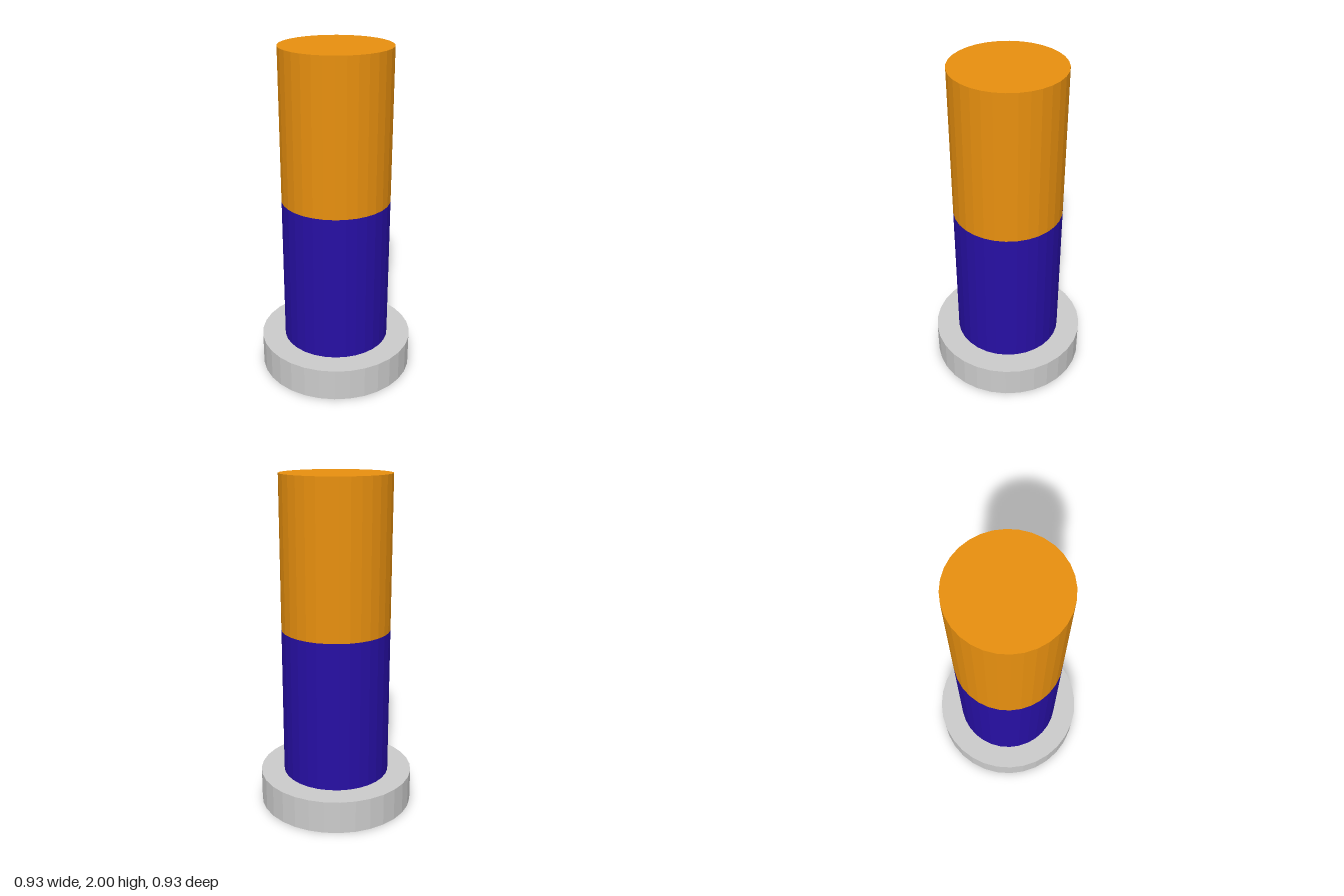
import * as THREE from 'three';

const SIDES = 32;

// Upright faceted disc or column between two heights
function cylinder(name, radius, bottom, top, color) {
  const height = top - bottom;
  const mesh = new THREE.Mesh(
    new THREE.CylinderGeometry(radius, radius, height, SIDES),
    new THREE.MeshStandardMaterial({ color, flatShading: true })
  );
  mesh.name = name;
  mesh.position.y = bottom + height / 2;
  return mesh;
}

export function createModel() {
  const group = new THREE.Group();
  group.name = 'bandedPost';
  group.add(
    cylinder('base', 0.467, 0, 0.197, 0xcccccc),
    cylinder('lowerColumn', 0.324, 0.197, 1.098, 0x270fa4),
    cylinder('upperColumn', 0.324, 1.098, 2, 0xe8900f)
  );
  return group;
}
